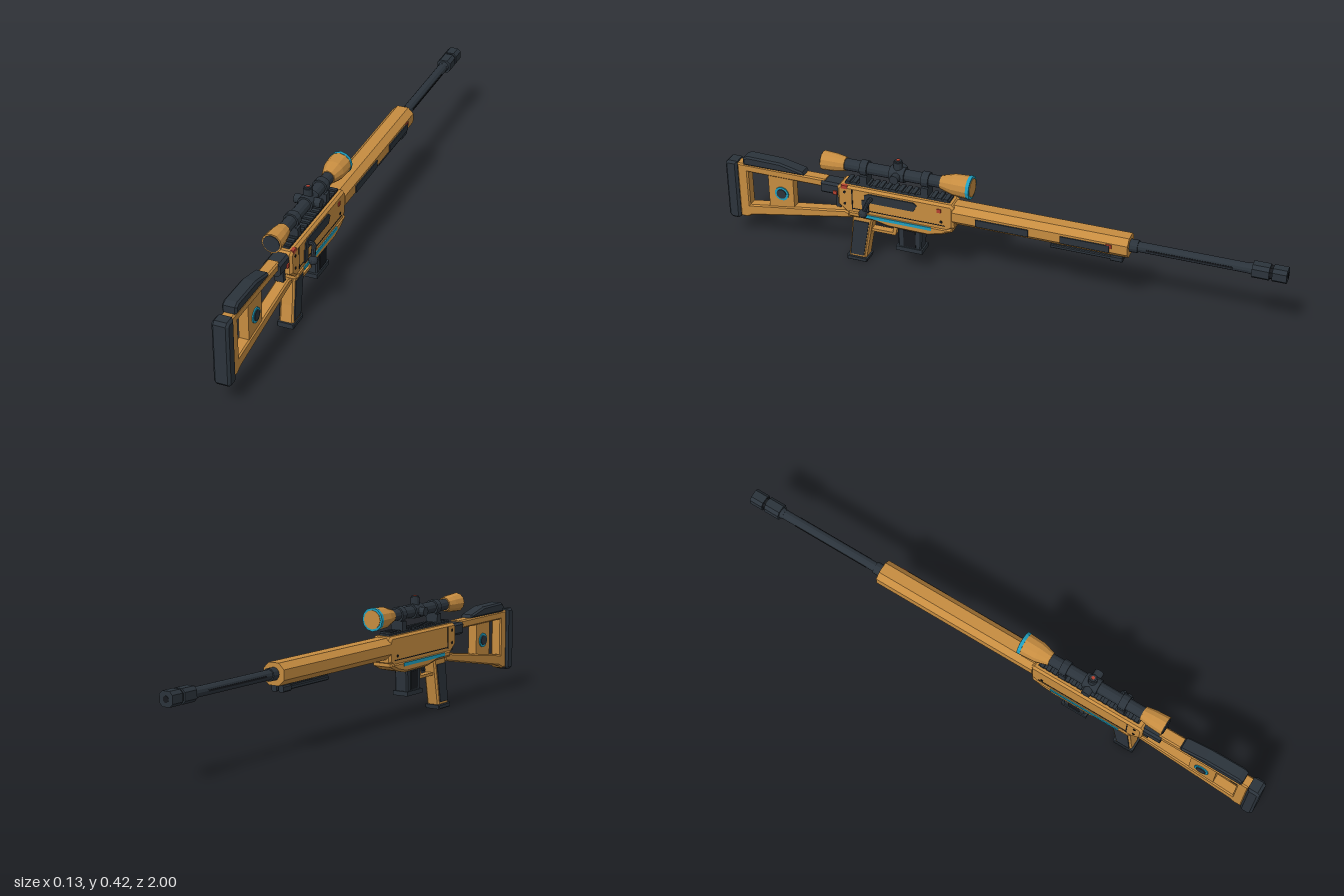
import * as THREE from 'three';

const mat = (name, color) => {
  const m = new THREE.MeshStandardMaterial({ color });
  m.name = name;
  return m;
};

export function createModel() {
  const tan = mat('tan', 0xc68c40);
  const dark = mat('charcoal', 0x2b333b);
  const black = mat('black', 0x16191d);
  const cyan = mat('cyan', 0x1e9fc0);
  const red = mat('red', 0xb5402f);

  const model = new THREE.Group();
  const body = new THREE.Group();
  body.name = 'rifle';
  body.position.x = -0.02; // the bolt handle sticks out to the left
  model.add(body);

  // Adds a flat-faceted mesh
  const add = (name, material, geo) => {
    const g = geo.index ? geo.toNonIndexed() : geo;
    g.computeVertexNormals();
    const mesh = new THREE.Mesh(g, material);
    mesh.name = name;
    body.add(mesh);
    return mesh;
  };
  // Box given by its centre x and width, y range and z range
  const box = (name, m, x, w, y0, y1, z0, z1) =>
    add(name, m, new THREE.BoxGeometry(w, y1 - y0, z1 - z0).translate(x, (y0 + y1) / 2, (z0 + z1) / 2));
  // Side profile of [z, y] points, extruded across x with bevelled edges
  const slab = (name, m, pts, w, b = 0, x = 0) => {
    const shape = new THREE.Shape(pts.map(([z, y]) => new THREE.Vector2(z, y)));
    const geo = new THREE.ExtrudeGeometry(shape, {
      depth: w - 2 * b, bevelEnabled: b > 0, bevelSize: b, bevelThickness: b, bevelOffset: -b, bevelSegments: 1,
    });
    return add(name, m, geo.translate(0, 0, -(w / 2 - b)).rotateY(-Math.PI / 2).translate(x, 0, 0));
  };
  // Bar along z with a chamfered rectangular section
  const bar = (name, m, w, y0, y1, z0, z1, c) => {
    const h = w / 2;
    const pts = [[-h + c, y0], [h - c, y0], [h, y0 + c], [h, y1 - c], [h - c, y1], [-h + c, y1], [-h, y1 - c], [-h, y0 + c]];
    const shape = new THREE.Shape(pts.map(p => new THREE.Vector2(...p)));
    return add(name, m, new THREE.ExtrudeGeometry(shape, { depth: z1 - z0, bevelEnabled: false }).translate(0, 0, z0));
  };
  // Round bar along z; r0 is the radius at z0 and r1 at z1
  const rod = (name, m, y, z0, z1, r0, r1 = r0, n = 12) =>
    add(name, m, new THREE.CylinderGeometry(r1, r0, z1 - z0, n).rotateX(Math.PI / 2).translate(0, y, (z0 + z1) / 2));
  // Disc or stud facing sideways
  const stud = (name, m, x, y, z, r, w, n = 12) =>
    add(name, m, new THREE.CylinderGeometry(r, r, w, n).rotateZ(Math.PI / 2).translate(x, y, z));

  // Skeleton stock
  slab('buttPad', dark, [[0.955, 0.085], [0.965, 0.076], [0.99, 0.076], [1, 0.088], [1, 0.298], [0.99, 0.308], [0.955, 0.308]], 0.057, 0.008);
  slab('stockFrame', tan, [[0.957, 0.302], [0.62, 0.302], [0.62, 0.272], [0.917, 0.272], [0.917, 0.138], [0.6, 0.185],
    [0.55, 0.193], [0.525, 0.183], [0.525, 0.168], [0.91, 0.097], [0.93, 0.085], [0.957, 0.085]], 0.042, 0.005);
  slab('stockPanel', tan, [[0.84, 0.14], [0.84, 0.28], [0.745, 0.28], [0.745, 0.155]], 0.034);
  slab('cheekRest', dark, [[0.932, 0.3], [0.932, 0.326], [0.915, 0.336], [0.79, 0.334], [0.705, 0.314], [0.7, 0.302]], 0.05, 0.006);
  for (const s of [-1, 1]) {
    stud('stockRing', cyan, s * 0.018, 0.21, 0.79, 0.026, 0.006, 16);
    stud('stockHub', dark, s * 0.0195, 0.21, 0.79, 0.018, 0.008, 16);
  }
  bar('stockHinge', dark, 0.058, 0.253, 0.298, 0.56, 0.632, 0.008);
  box('hingePin', dark, 0, 0.03, 0.2, 0.255, 0.565, 0.583);
  box('hingeButton', red, 0.03, 0.006, 0.258, 0.272, 0.572, 0.586);

  // Receiver
  slab('upperReceiver', tan, [[0.568, 0.295], [0.558, 0.304], [0.15, 0.304], [0.14, 0.295], [0.14, 0.215], [0.17, 0.195], [0.53, 0.195], [0.568, 0.225]], 0.076, 0.008);
  slab('lowerReceiver', tan, [[0.53, 0.212], [0.145, 0.212], [0.145, 0.2], [0.185, 0.182], [0.235, 0.17], [0.38, 0.172], [0.44, 0.185], [0.53, 0.185]], 0.084, 0.008);
  for (const s of [-1, 1]) {
    box('cyanStripe', cyan, s * 0.0405, 0.006, 0.194, 0.206, 0.22, 0.485);
    box('panelSeam', black, s * 0.038, 0.002, 0.215, 0.295, 0.51, 0.514);
    box('panelSeam', black, s * 0.038, 0.002, 0.219, 0.222, 0.17, 0.51);
    for (const [y, z] of [[0.235, 0.54], [0.235, 0.185], [0.28, 0.54]])
      stud('screw', black, s * 0.038, y, z, 0.005, 0.004, 8);
  }
  slab('ejectionPort', dark, [[0.465, 0.256], [0.465, 0.282], [0.45, 0.29], [0.285, 0.29], [0.272, 0.28], [0.285, 0.256]], 0.008, 0, 0.038);
  box('boltSlot', dark, 0.038, 0.008, 0.215, 0.262, 0.45, 0.475);
  box('receiverMark', red, 0.038, 0.005, 0.27, 0.284, 0.185, 0.2);
  box('safetyCatch', red, 0.032, 0.012, 0.292, 0.305, 0.53, 0.552);

  // Bolt handle
  const path = new THREE.CurvePath();
  const pts = [[0.03, 0.273, 0.44], [0.058, 0.273, 0.442], [0.06, 0.268, 0.444], [0.062, 0.23, 0.46]].map(p => new THREE.Vector3(...p));
  for (let i = 0; i < 3; i++) path.add(new THREE.LineCurve3(pts[i], pts[i + 1]));
  add('boltArm', dark, new THREE.TubeGeometry(path, 14, 0.008, 8));
  add('boltKnob', dark, new THREE.SphereGeometry(0.016, 12, 8).translate(0.064, 0.224, 0.462));

  // Top rail with teeth
  box('railBase', dark, 0, 0.04, 0.302, 0.311, 0.16, 0.545);
  for (let i = 0; i < 16; i++) box('railTooth', dark, 0, 0.046, 0.31, 0.317, 0.166 + i * 0.024, 0.18 + i * 0.024);

  // Handguard, barrel and muzzle brake
  bar('handguard', tan, 0.08, 0.226, 0.3, -0.472, 0.145, 0.02);
  for (const [z0, z1] of [[-0.128, 0.06], [-0.41, -0.24]])
    box('gripPanel', dark, 0.04, 0.008, 0.246, 0.272, z0, z1);
  box('handguardMark', red, 0.04, 0.006, 0.262, 0.276, -0.418, -0.398);
  rod('barrelCollar', dark, 0.264, -0.5, -0.47, 0.022);
  rod('barrel', dark, 0.264, -0.89, -0.47, 0.0175);
  for (const s of [-1, 1]) box('barrelFlute', black, s * 0.0165, 0.003, 0.261, 0.267, -0.82, -0.53);
  rod('brakeNeck', dark, 0.264, -0.892, -0.872, 0.021, 0.018);
  bar('brakeRear', dark, 0.05, 0.24, 0.289, -0.942, -0.885, 0.011);
  bar('brakeCore', black, 0.04, 0.244, 0.285, -0.99, -0.9, 0.01);
  bar('brakeFront', dark, 0.05, 0.24, 0.289, -1, -0.952, 0.011);
  rod('bore', black, 0.264, -1.001, -0.99, 0.011);

  // Folded bipod
  box('bipodMount', dark, 0, 0.03, 0.205, 0.23, -0.25, -0.2);
  for (const s of [-1, 1]) {
    bar('bipodLeg', dark, 0.014, 0.206, 0.22, -0.44, -0.2, 0.003).position.x = s * 0.014;
    bar('bipodFoot', dark, 0.02, 0.202, 0.224, -0.452, -0.41, 0.004).position.x = s * 0.014;
  }
  box('bipodBracket', dark, 0, 0.024, 0.215, 0.23, -0.44, -0.4);

  // Pistol grip
  slab('grip', tan, [[0.52, 0.19], [0.442, 0.19], [0.45, 0.15], [0.475, 0.012], [0.54, 0.012], [0.53, 0.08]], 0.05, 0.006);
  for (const s of [-1, 1])
    slab('gripInlay', dark, [[0.514, 0.165], [0.458, 0.165], [0.482, 0.025], [0.532, 0.025]], 0.006, 0, s * 0.025);
  slab('gripBase', dark, [[0.546, 0], [0.472, 0], [0.468, 0.016], [0.546, 0.018]], 0.06, 0.003);

  // Trigger and guard
  box('guardBottom', tan, 0, 0.026, 0.126, 0.136, 0.365, 0.465);
  slab('guardFront', tan, [[0.365, 0.126], [0.377, 0.126], [0.367, 0.18], [0.353, 0.18]], 0.026);
  slab('trigger', dark, [[0.408, 0.185], [0.392, 0.185], [0.398, 0.16], [0.41, 0.146], [0.416, 0.15], [0.408, 0.165]], 0.012);

  // Magazine
  slab('magazine', dark, [[0.352, 0.18], [0.262, 0.18], [0.266, 0.09], [0.35, 0.09]], 0.052, 0.005);
  box('magazineBase', dark, 0, 0.06, 0.08, 0.096, 0.26, 0.358);
  for (const s of [-1, 1]) box('magazineRib', black, s * 0.026, 0.004, 0.1, 0.165, 0.285, 0.33);

  // Scope
  const sy = 0.369;
  rod('scopeTube', dark, sy, 0.18, 0.56, 0.021);
  rod('eyepieceTaper', tan, sy, 0.545, 0.58, 0.025, 0.031);
  rod('eyepiece', tan, sy, 0.58, 0.63, 0.031, 0.034);
  rod('eyepieceLens', dark, sy, 0.628, 0.633, 0.029);
  rod('objectiveTaper', tan, sy, 0.15, 0.195, 0.037, 0.024);
  rod('objective', tan, sy, 0.096, 0.15, 0.04, 0.037);
  rod('objectiveRing', cyan, sy, 0.085, 0.097, 0.041);
  rod('objectiveLens', tan, sy, 0.083, 0.088, 0.033);
  for (const z of [0.475, 0.25]) {
    rod('scopeRing', dark, sy, z - 0.013, z + 0.013, 0.027);
    box('scopeMount', dark, 0, 0.048, 0.312, 0.346, z - 0.013, z + 0.013);
  }
  // Turrets
  rod('turretHousing', dark, sy, 0.325, 0.38, 0.027);
  add('topTurret', dark, new THREE.CylinderGeometry(0.016, 0.016, 0.035, 12).translate(0, 0.4, 0.352));
  add('topTurretCap', dark, new THREE.CylinderGeometry(0.012, 0.012, 0.012, 12).translate(0, 0.416, 0.352));
  add('turretDot', red, new THREE.CylinderGeometry(0.006, 0.006, 0.004, 8).translate(0, 0.422, 0.352));
  for (const s of [-1, 1]) stud('sideTurret', dark, s * 0.033, sy, 0.352, 0.016, 0.026);

  return model;
}
